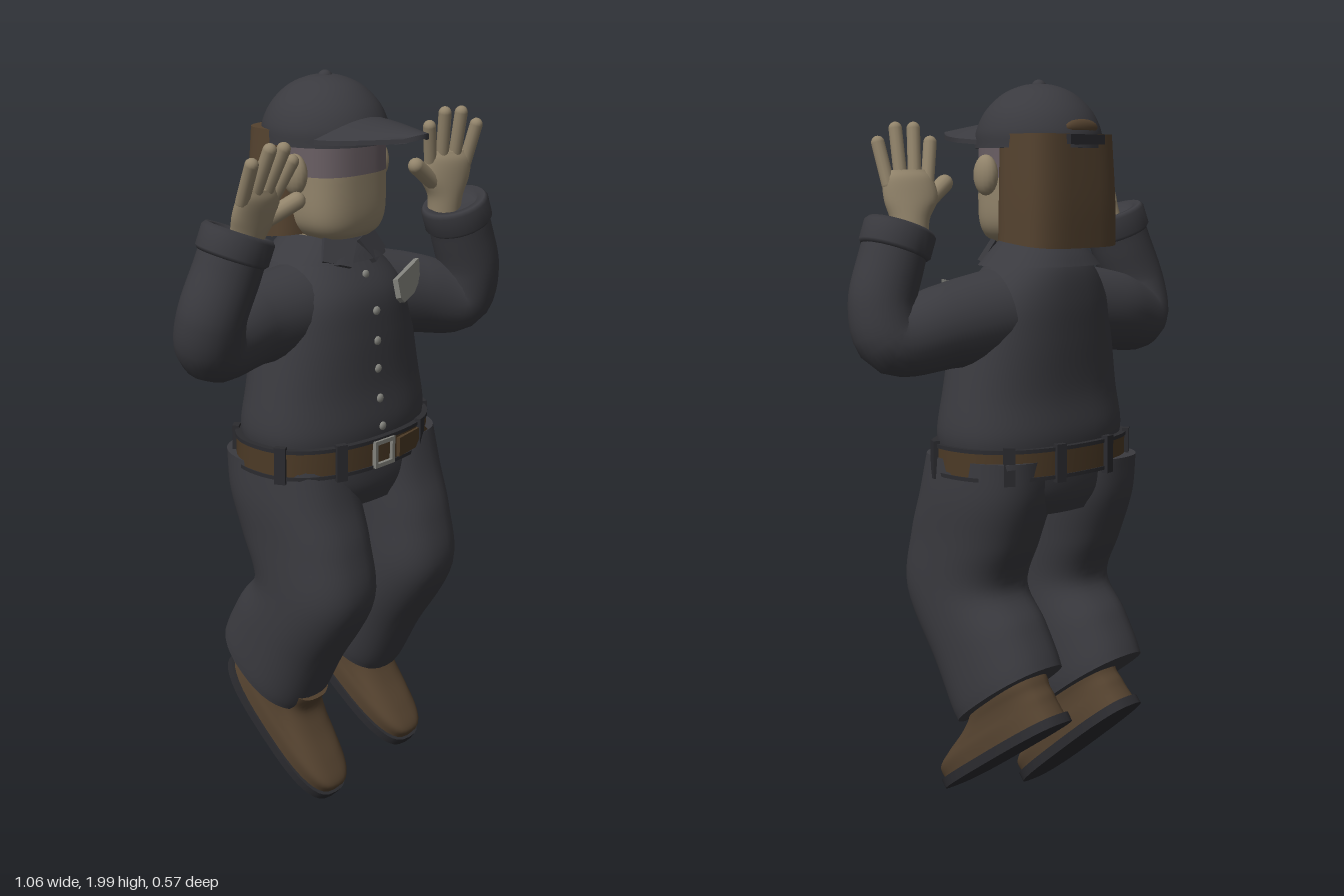
import * as THREE from 'three';

const paint = (color) => new THREE.MeshStandardMaterial({ color, side: THREE.DoubleSide });
const CLOTH = paint(0x3a3a3f), TRIM = paint(0x2b2b2f), BROWN = paint(0x54422f), BELT = paint(0x4c3a26),
  SKIN = paint(0x92846b), BROW = paint(0x6a5f64), GREY = paint(0x83837d);

const power = (v, e) => Math.sign(v) * Math.abs(v) ** e;

function part(parent, name, geometry, material) {
  const mesh = new THREE.Mesh(geometry, material);
  mesh.name = name;
  parent.add(mesh);
  return mesh;
}

// Skin over rounded rings, bottom to top. Row: [x, y, z, halfWidth, halfDepth, tilt]
function loft(rows, { round = 0.85, sides = 40, steps = 6, caps = true } = {}) {
  const full = rows.map((r) => [r[0], r[1], r[2], r[3], r[4], r[5] || 0]);
  const spline = new THREE.CubicInterpolant(rows.map((_, i) => i), full.flat(), 6, new Float32Array(6));
  const count = (rows.length - 1) * steps, pos = [], index = [];
  const ring = (t) => {
    const [x, y, z, w, d, tilt] = spline.evaluate(t);
    for (let j = 0; j < sides; j++) {
      const a = (j / sides) * Math.PI * 2, dz = d * power(Math.sin(a), round);
      pos.push(x + w * power(Math.cos(a), round), y - dz * Math.sin(tilt), z + dz * Math.cos(tilt));
    }
  };
  for (let i = 0; i <= count; i++) ring(i / steps);
  for (let i = 0; i < count; i++) for (let j = 0; j < sides; j++) {
    const k = (j + 1) % sides, p = i * sides, q = p + sides;
    index.push(p + j, q + j, p + k, q + j, q + k, p + k);
  }
  if (caps) [0, rows.length - 1].forEach((t, top) => {
    const start = pos.length / 3;
    ring(t);
    pos.push(...full[t].slice(0, 3));
    for (let j = 0; j < sides; j++) {
      const a = start + j, b = start + (j + 1) % sides;
      index.push(start + sides, top ? b : a, top ? a : b);
    }
  });
  const g = new THREE.BufferGeometry();
  g.setAttribute('position', new THREE.Float32BufferAttribute(pos, 3));
  g.setIndex(index);
  g.computeVertexNormals();
  return g;
}

// Tube whose radius changes along its path
function limb(points, radii, rings = 36, sides = 24) {
  const path = new THREE.CatmullRomCurve3(points.map((p) => new THREE.Vector3(...p)));
  const g = new THREE.TubeGeometry(path, rings, 1, sides);
  const pos = g.attributes.position, v = new THREE.Vector3();
  for (let i = 0; i < pos.count; i++) {
    const u = Math.floor(i / (sides + 1)) / rings, f = u * (radii.length - 1);
    const k = Math.min(Math.floor(f), radii.length - 2);
    const c = path.getPointAt(u), r = THREE.MathUtils.lerp(radii[k], radii[k + 1], f - k);
    v.fromBufferAttribute(pos, i).sub(c).multiplyScalar(r).add(c);
    pos.setXYZ(i, v.x, v.y, v.z);
  }
  return g;
}

// Turns a mesh built along y so it runs from a to b
function aim(mesh, a, b) {
  const p = new THREE.Vector3(...a), q = new THREE.Vector3(...b);
  mesh.position.copy(p).lerp(q, 0.5);
  mesh.quaternion.setFromUnitVectors(new THREE.Vector3(0, 1, 0), q.sub(p).normalize());
  return mesh;
}

function rod(parent, name, a, b, r, material) {
  const length = new THREE.Vector3(...a).distanceTo(new THREE.Vector3(...b));
  return aim(part(parent, name, new THREE.CapsuleGeometry(r, length, 6, 12), material), a, b);
}

function plate(points, depth, hole) {
  const toShape = (p) => new THREE.Shape(p.map(([x, y]) => new THREE.Vector2(x, y)));
  const shape = toShape(points);
  if (hole) shape.holes.push(toShape(hole));
  return new THREE.ExtrudeGeometry(shape, { depth, bevelEnabled: false });
}

// Open hand, palm forward; s is the side the thumb points to
function hand(s) {
  const g = new THREE.Group();
  part(g, 'palm', loft([[0, -0.05, 0, 0.045, 0.042], [0, 0.01, 0, 0.05, 0.04], [s * 0.005, 0.06, 0, 0.07, 0.036],
    [0, 0.11, 0, 0.067, 0.028], [0, 0.135, 0, 0.05, 0.015]], { round: 1, sides: 24 }), SKIN);
  [[-0.052, -0.07, 0.205], [-0.018, -0.023, 0.24], [0.017, 0.024, 0.24], [0.05, 0.066, 0.205]].forEach(([x, tip, y]) =>
    rod(g, 'finger', [s * x, 0.1, 0], [s * tip, y, 0.012], 0.0175, SKIN));
  rod(g, 'thumb', [s * 0.03, 0.04, 0.005], [s * 0.105, 0.105, 0.03], 0.022, SKIN);
  return g;
}

function boot() {
  const g = new THREE.Group();
  part(g, 'sole', loft([[0, 0, 0, 0.092, 0.248], [0, 0.026, 0, 0.092, 0.248]], { round: 0.7, steps: 1 }), TRIM);
  part(g, 'bootUpper', loft([[0, 0.024, 0, 0.086, 0.24], [0, 0.06, 0, 0.086, 0.236], [0, 0.085, -0.03, 0.082, 0.205],
    [0, 0.11, -0.07, 0.08, 0.16], [0, 0.14, -0.1, 0.082, 0.13], [0, 0.19, -0.1, 0.08, 0.12]], { round: 0.75 }), BROWN);
  return g;
}

export function createModel() {
  const model = new THREE.Group();
  const cx = 0.018;

  // Jacket
  part(model, 'jacket', loft([[0.02, 1.04, -0.03, 0.275, 0.18], [0.02, 1.1, -0.03, 0.283, 0.182], [0.02, 1.2, -0.03, 0.268, 0.168],
    [0.02, 1.34, -0.035, 0.24, 0.165], [0.02, 1.44, -0.042, 0.21, 0.158], [0.02, 1.52, -0.06, 0.15, 0.128],
    [0.02, 1.575, -0.065, 0.09, 0.09]]), CLOTH);
  part(model, 'collar', loft([[cx, 1.525, -0.06, 0.165, 0.142], [cx, 1.555, -0.06, 0.135, 0.125], [cx, 1.59, -0.06, 0.1, 0.1]],
    { caps: false }), CLOTH);
  for (const s of [-1, 1]) {
    const flap = part(model, 'collarFlap', plate([[0, 0.025], [s * 0.09, 0.055], [s * 0.12, -0.005], [s * 0.045, -0.04]], 0.014), CLOTH);
    flap.position.set(cx, 1.55, 0.062);
    flap.rotation.set(-0.5, s * 0.25, 0);
  }
  [[1.49, 0.088], [1.4, 0.128], [1.32, 0.132], [1.245, 0.135], [1.165, 0.143], [1.09, 0.153]].forEach(([y, z]) => {
    const button = part(model, 'button', new THREE.SphereGeometry(0.012, 12, 8), GREY);
    button.position.set(cx, y, z);
    button.scale.z = 0.6;
  });
  const patch = part(model, 'chestPatch', plate([[-0.075, 0.015], [0.08, 0.05], [0.068, -0.005], [0.02, -0.035], [-0.05, -0.05],
    [-0.07, -0.035]], 0.015), GREY);
  patch.position.set(0.17, 1.445, 0.09);
  patch.rotation.set(-0.2, 0.32, 0);

  // Arms, cuffs and raised hands
  const arms = [
    { name: 'right', s: 1, path: [[-0.12, 1.4, -0.045], [-0.27, 1.385, -0.055], [-0.415, 1.365, -0.03], [-0.438, 1.44, -0.005],
      [-0.4, 1.56, 0.015], [-0.37, 1.645, 0.025]], wrist: [-0.342, 1.635, 0.025], turn: [0.35, 0, -0.06] },
    { name: 'left', s: -1, path: [[0.16, 1.4, -0.04], [0.3, 1.375, 0.005], [0.43, 1.35, 0.06], [0.446, 1.43, 0.08],
      [0.415, 1.54, 0.08], [0.385, 1.62, 0.078]], wrist: [0.37, 1.635, 0.055], turn: [0.13, -0.45, 0.05] },
  ];
  for (const { name, s, path, wrist, turn } of arms) {
    part(model, name + 'Sleeve', limb(path, [0.12, 0.115, 0.105, 0.092, 0.087, 0.086, 0.084]), CLOTH);
    const cuff = new THREE.LatheGeometry([[0, -0.035], [0.086, -0.035], [0.094, -0.026], [0.094, 0.026], [0.086, 0.036],
      [0.066, 0.034], [0.06, 0.015], [0, 0.015]].map(([x, y]) => new THREE.Vector2(x, y)), 28);
    const end = path[5], back = path[4].map((v, i) => v + (end[i] - v) * 0.45);
    aim(part(model, name + 'Cuff', cuff, CLOTH), back, end);
    const h = hand(s);
    h.name = name + 'Hand';
    h.position.set(...wrist);
    h.rotation.set(...turn);
    model.add(h);
  }

  // Trousers and boots
  part(model, 'trouserSeat', loft([[0.02, 0.88, -0.02, 0.2, 0.16], [0.02, 0.94, -0.025, 0.27, 0.182], [0.02, 1.04, -0.03, 0.283, 0.185]]), CLOTH);
  for (const [name, x, dy, dz, bx, by, bz, tilt] of [['left', 0.168, 0.012, 0.005, 0.163, 0.208, -0.08, 0.61],
    ['right', -0.13, -0.012, -0.02, -0.13, 0.167, -0.085, 0.7]]) {
    const rows = [[0, 0.375, -0.1, 0.127, 0.17, 0.64], [0, 0.41, -0.08, 0.13, 0.172, 0.62], [0, 0.51, -0.025, 0.132, 0.168, 0.45],
      [0, 0.65, 0.062, 0.135, 0.175, 0.1], [0, 0.79, 0.03, 0.138, 0.188], [0, 0.91, -0.01, 0.144, 0.188], [0, 1.02, -0.03, 0.14, 0.18]];
    part(model, name + 'TrouserLeg', loft(rows.map(([, y, z, ...rest]) => [x, y + dy, z + dz, ...rest])), CLOTH);
    const b = boot();
    b.name = name + 'Boot';
    b.position.set(bx, by, bz);
    b.rotation.x = tilt;
    model.add(b);
  }

  // Belt with edging, loops and buckle
  const band = (y0, y1, grow) => loft([[cx, y0, -0.03, 0.292 + grow, 0.196 + grow], [cx, y1, -0.03, 0.292 + grow, 0.196 + grow]], { steps: 1, sides: 64 });
  part(model, 'belt', band(0.99, 1.06, 0), BELT);
  part(model, 'beltLowerEdge', band(0.984, 0.994, 0.003), TRIM);
  part(model, 'beltUpperEdge', band(1.057, 1.067, 0.003), TRIM);
  for (const deg of [20, 62, 118, 160, 222, 255, 285, 318]) {
    const a = THREE.MathUtils.degToRad(deg), c = Math.cos(a), s = Math.sin(a);
    const loop = part(model, 'beltLoop', new THREE.BoxGeometry(0.03, 0.1, 0.018), TRIM);
    loop.position.set(cx + 0.294 * power(c, 0.85), 1.025, -0.03 + 0.198 * power(s, 0.85));
    loop.rotation.y = Math.atan2(c * 0.196, s * 0.292);
  }
  const box = (w, h) => [[-w, -h], [w, -h], [w, h], [-w, h]];
  part(model, 'buckle', plate(box(0.038, 0.037), 0.014, box(0.028, 0.026)), GREY).position.set(0.005, 1.024, 0.162);
  const tail = part(model, 'beltTail', plate([[-0.08, -0.026], [0.05, -0.026], [0.08, 0], [0.05, 0.026], [-0.08, 0.026]], 0.01), BELT);
  tail.position.set(0.135, 1.025, 0.153);
  tail.rotation.y = 0.2;

  // Head and hair
  part(model, 'neck', loft([[cx, 1.5, -0.06, 0.085, 0.08], [cx, 1.64, -0.04, 0.08, 0.08]], { steps: 1 }), SKIN);
  part(model, 'face', loft([[cx, 1.585, -0.01, 0.085, 0.07], [cx, 1.605, -0.015, 0.115, 0.092], [cx, 1.65, -0.02, 0.133, 0.106],
    [cx, 1.75, -0.025, 0.136, 0.112]], { round: 0.75 }), SKIN);
  part(model, 'brow', loft([[cx, 1.75, -0.025, 0.136, 0.112], [cx, 1.86, -0.03, 0.138, 0.112]], { round: 0.75, steps: 2 }), BROW);
  part(model, 'hair', loft([[cx, 1.585, -0.125, 0.165, 0.102, -0.12], [cx, 1.7, -0.125, 0.163, 0.1], [cx, 1.86, -0.12, 0.156, 0.096]],
    { round: 0.6 }), BROWN);
  for (const s of [-1, 1]) {
    const ear = part(model, 'ear', new THREE.SphereGeometry(1, 16, 12), SKIN);
    ear.position.set(cx + s * 0.153, 1.757, -0.015);
    ear.scale.set(0.028, 0.052, 0.036);
  }

  // Cap with arched brim
  part(model, 'capCrown', loft([[cx, 1.825, -0.057, 0.163, 0.17], [cx, 1.87, -0.057, 0.16, 0.165], [cx, 1.92, -0.057, 0.137, 0.14],
    [cx, 1.962, -0.057, 0.094, 0.096], [cx, 1.984, -0.057, 0.045, 0.045], [cx, 1.99, -0.057, 0.001, 0.001]], { round: 1 }), CLOTH);
  part(model, 'capButton', new THREE.SphereGeometry(0.02, 16, 10), CLOTH).position.set(cx, 1.98, -0.057);
  const brim = new THREE.BoxGeometry(2, 1, 1, 16, 1, 10), pos = brim.attributes.position;
  for (let i = 0; i < pos.count; i++) {
    const u = pos.getX(i), v = pos.getZ(i) + 0.5;
    const width = 0.136 * (1 - 0.68 * Math.max(0, (v - 0.42) / 0.58) ** 1.2);
    const y = 1.9 - 0.033 * v - u * u * (0.062 - 0.05 * v) + pos.getY(i) * 0.012;
    pos.setXYZ(i, cx + u * width, y, v * (0.285 - 0.035 * u * u));
  }
  brim.computeVertexNormals();
  part(model, 'capBrim', brim, CLOTH);
  const slot = part(model, 'capOpening', new THREE.SphereGeometry(1, 20, 12), BROWN);
  slot.position.set(cx, 1.876, -0.205);
  slot.scale.set(0.06, 0.022, 0.018);
  part(model, 'capStrap', new THREE.BoxGeometry(0.13, 0.025, 0.02), TRIM).position.set(cx, 1.846, -0.219);

  return model;
}
